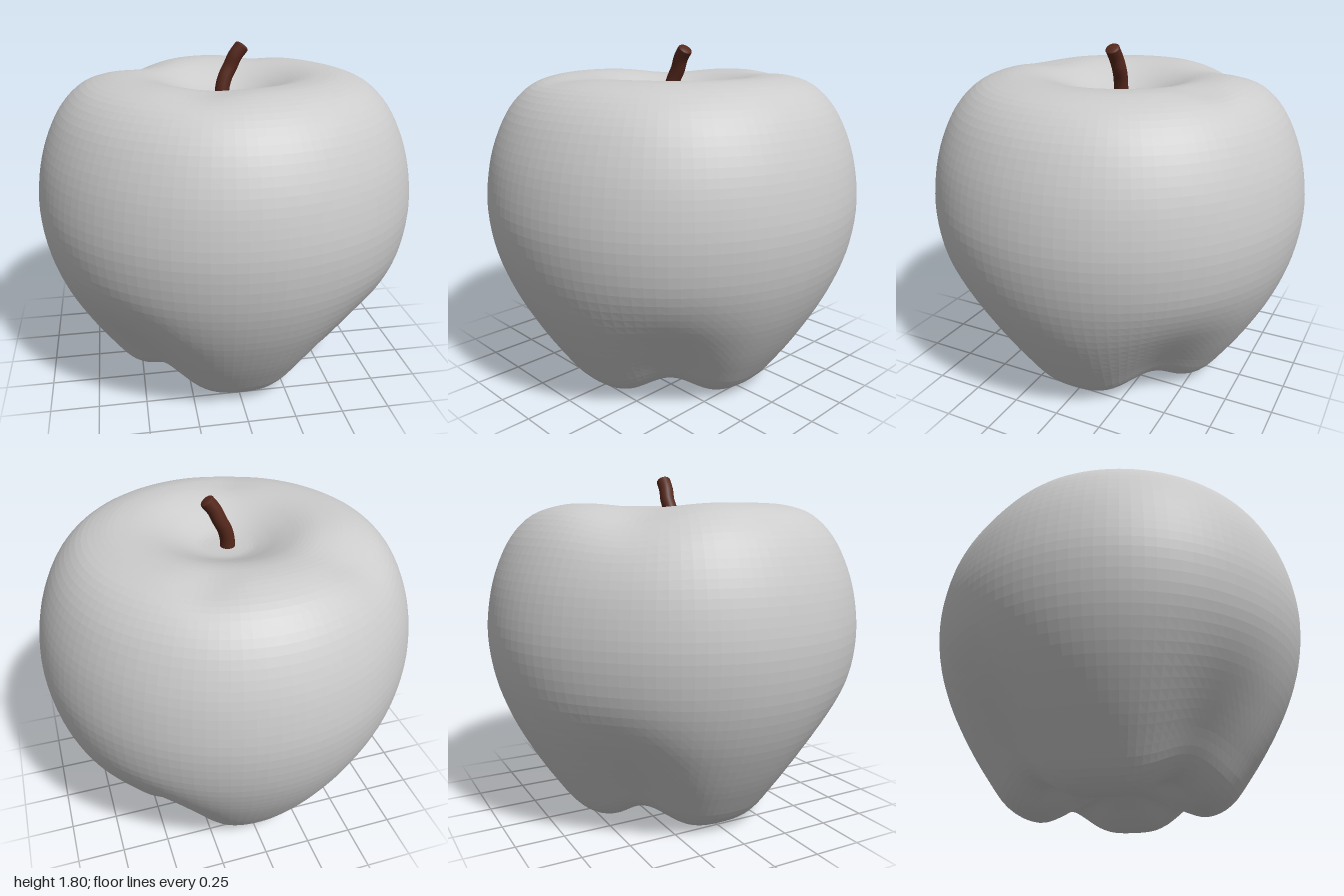
import * as THREE from 'three';

const skin = new THREE.MeshStandardMaterial({ color: 0xcccccc, flatShading: true });
skin.name = 'grey skin';
const bark = new THREE.MeshStandardMaterial({ color: 0x56281c });
bark.name = 'brown bark';

// Soft round bump of the given width around (cx, cz)
const bump = (x, z, cx, cz, width) =>
  Math.exp(-((x - cx) ** 2 + (z - cz) ** 2) / (width * width));

function makeFruit() {
  // Half profile from the bottom hollow, round the belly, into the top hollow
  const profile = new THREE.SplineCurve([
    [0, 0.16], [0.1, 0.14], [0.22, 0.085], [0.34, 0.028], [0.46, 0.003], [0.58, 0.06],
    [0.69, 0.2], [0.8, 0.37], [0.9, 0.56], [0.97, 0.76], [1, 0.97], [0.985, 1.16],
    [0.94, 1.33], [0.86, 1.49], [0.75, 1.6], [0.62, 1.648], [0.5, 1.655], [0.4, 1.638],
    [0.3, 1.6], [0.2, 1.555], [0.12, 1.53], [0, 1.525],
  ].map(([r, y]) => new THREE.Vector2(r, y)));
  const points = profile.getPoints(84);
  points[0].x = points[84].x = 0;
  const geometry = new THREE.LatheGeometry(points, 112);

  const pos = geometry.attributes.position;
  for (let i = 0; i < pos.count; i++) {
    let x = pos.getX(i), y = pos.getY(i), z = pos.getZ(i);
    const r = Math.hypot(x, z);
    const angle = Math.atan2(z, x);

    // Four feet on the axes, with notches between them that fade up the sides
    const notch = Math.sin(2 * angle) ** 4;
    const low = 1 - THREE.MathUtils.smoothstep(y, 0.05, 0.85);
    const outer = THREE.MathUtils.smoothstep(r, 0.05, 0.42);
    const inset = 1 - 0.05 * notch * low * outer;
    const lift = 0.1 * notch * low * outer;

    // Flatter flank at the back right, and shallow dips in the shoulder
    const flank = 1 - 0.025 * bump(x, z, -0.72, -0.72, 0.4);
    const high = THREE.MathUtils.smoothstep(y, 1.0, 1.6);
    const dip = high * (0.06 * bump(x, z, -0.52, -0.48, 0.24)
      + 0.02 * bump(x, z, -0.17, 0.52, 0.15)
      + 0.02 * bump(x, z, 0.25, -0.55, 0.13));

    pos.setXYZ(i, x * inset * flank, y + lift - dip, z * inset * flank);
  }
  geometry.computeVertexNormals();
  const fruit = new THREE.Mesh(geometry, skin);
  fruit.name = 'fruit';
  return fruit;
}

function makeStem() {
  const stem = new THREE.Group();
  stem.name = 'stem';
  const path = new THREE.CatmullRomCurve3([
    [-0.01, 1.48, 0], [-0.01, 1.56, 0], [0.005, 1.62, -0.005],
    [0.035, 1.68, -0.01], [0.06, 1.735, -0.005], [0.095, 1.782, -0.003],
  ].map((p) => new THREE.Vector3(...p)));
  const stalk = new THREE.Mesh(new THREE.TubeGeometry(path, 24, 0.038, 14), bark);
  stalk.name = 'stalk';

  // Slightly domed cut end
  const tip = new THREE.Mesh(new THREE.SphereGeometry(0.038, 14, 8), bark);
  tip.name = 'stalkTip';
  tip.scale.y = 0.3;
  tip.position.copy(path.getPoint(1));
  tip.quaternion.setFromUnitVectors(new THREE.Vector3(0, 1, 0), path.getTangent(1));
  stem.add(stalk, tip);
  return stem;
}

export function createModel() {
  const apple = new THREE.Group();
  apple.name = 'apple';
  apple.add(makeFruit(), makeStem());
  return apple;
}
